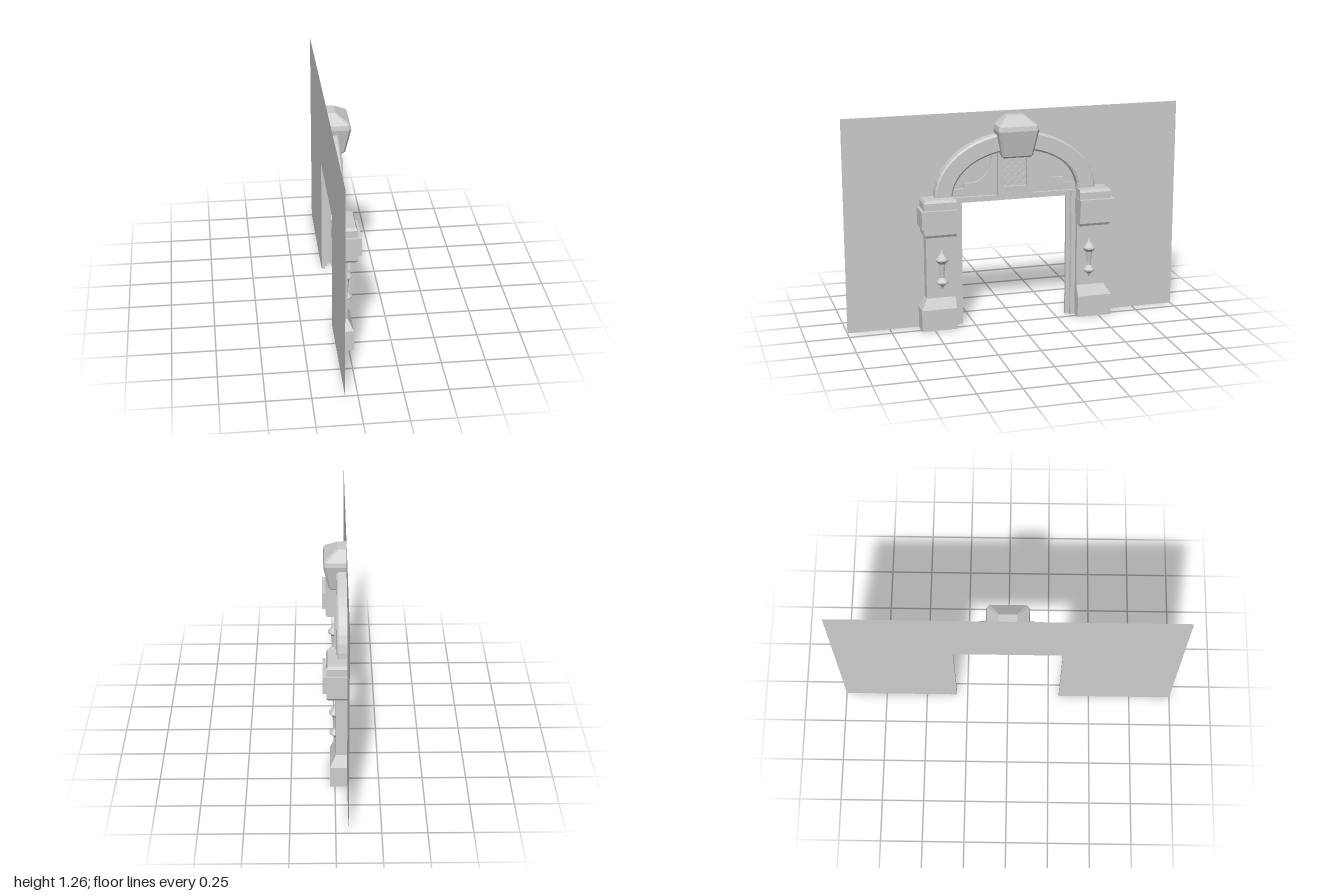
import * as THREE from 'three';

const BACK = -0.069; // rear plane of all relief parts, just in front of the wall
const grey = new THREE.MeshStandardMaterial({ color: 0xcccccc, flatShading: true });
const greyThin = new THREE.MeshStandardMaterial({ color: 0xcccccc, side: THREE.DoubleSide });

function add(group, name, geometry, material = grey) {
  const mesh = new THREE.Mesh(geometry, material);
  mesh.name = name;
  group.add(mesh);
  return mesh;
}

const outline = pts => new THREE.Shape(pts.map(p => new THREE.Vector2(p[0], p[1])));

// Flat relief drawn in the wall plane, raised from the wall to x = front
function relief(shape, front, back = BACK) {
  const g = new THREE.ExtrudeGeometry(shape, { depth: front - back, bevelEnabled: false, curveSegments: 10 });
  return g.rotateY(Math.PI / 2).translate(back, 0, 0);
}

// Solid skinned over equal-length rings of [x, y, z], with end caps
function skin(rings) {
  const n = rings[0].length, index = [];
  for (let i = 0; i < rings.length - 1; i++) {
    for (let j = 0; j < n; j++) {
      const a = i * n + j, b = i * n + (j + 1) % n;
      index.push(a, b, b + n, a, b + n, a + n);
    }
  }
  const last = (rings.length - 1) * n;
  for (let j = 1; j < n - 1; j++) index.push(0, j + 1, j, last, last + j, last + j + 1);
  // Turn the faces outwards if the enclosed volume comes out negative
  const p = rings.flat().map(v => new THREE.Vector3(...v));
  let volume = 0;
  for (let i = 0; i < index.length; i += 3) {
    volume += p[index[i]].dot(p[index[i + 1]].clone().cross(p[index[i + 2]]));
  }
  if (volume < 0) index.reverse();
  const g = new THREE.BufferGeometry().setFromPoints(p);
  g.setIndex(index);
  const flat = g.toNonIndexed();
  flat.computeVertexNormals();
  return flat;
}

// Rectangular sections [y, inner z, outer z, front x] stacked into a pier
const pier = (rows, side) => skin(rows.map(([y, z0, z1, x]) => [
  [BACK, y, side * z0], [x, y, side * z0], [x, y, side * z1], [BACK, y, side * z1],
]));

// U-shaped door surround
function surround(inner, outer, head, top, front) {
  return relief(outline([
    [-outer, 0], [-inner, 0], [-inner, head], [inner, head],
    [inner, 0], [outer, 0], [outer, top], [-outer, top],
  ]), front);
}

export function createModel() {
  const model = new THREE.Group();
  model.name = 'archedDoorway';

  // Wall sheet with door opening
  const wall = outline([
    [-1, 0], [-0.316, 0], [-0.316, 0.737], [0.316, 0.737],
    [0.316, 0], [1, 0], [1, 1.262], [-1, 1.262],
  ]);
  add(model, 'wall', new THREE.ShapeGeometry(wall).rotateY(Math.PI / 2).translate(-0.07, 0, 0), greyThin);

  // Stepped door surround
  add(model, 'innerSurround', surround(0.316, 0.372, 0.737, 0.772, -0.05));
  add(model, 'outerSurround', surround(0.342, 0.372, 0.765, 0.772, -0.035));

  for (const side of [1, -1]) {
    const pilaster = new THREE.Group();
    pilaster.name = side > 0 ? 'frontPilaster' : 'rearPilaster';
    model.add(pilaster);

    // Plinth flaring out of the shaft
    add(pilaster, 'shaft', pier([
      [0, 0.37, 0.577, 0.028], [0.128, 0.37, 0.577, 0.028],
      [0.19, 0.37, 0.54, -0.005], [0.57, 0.37, 0.54, -0.005],
    ], side));

    // Capital with a projecting block
    add(pilaster, 'capital', pier([
      [0.566, 0.37, 0.55, 0.038], [0.582, 0.37, 0.56, 0.047],
      [0.625, 0.37, 0.56, 0.047], [0.625, 0.367, 0.577, 0.068],
      [0.729, 0.367, 0.577, 0.068], [0.729, 0.37, 0.56, 0.047],
      [0.77, 0.37, 0.56, 0.047], [0.786, 0.37, 0.55, 0.038],
    ], side));

    // Turned spindle half sunk in the shaft
    const profile = [
      [0, 0.24], [0.012, 0.262], [0.036, 0.28], [0.036, 0.288], [0.013, 0.312],
      [0.013, 0.33], [0.019, 0.395], [0.038, 0.415], [0.038, 0.423], [0.015, 0.452], [0, 0.485],
    ].map(p => new THREE.Vector2(...p));
    add(pilaster, 'spindle', new THREE.LatheGeometry(profile, 10)).position.set(-0.005, 0, side * 0.447);

    // Spandrel panel with a stepped, scooped upper edge
    const s = new THREE.Shape();
    s.moveTo(side * 0.1, 0.77);
    s.lineTo(side * 0.372, 0.77);
    s.lineTo(side * 0.37, 0.815);
    s.lineTo(side * 0.3, 0.82);
    s.lineTo(side * 0.3, 0.85);
    s.lineTo(side * 0.245, 0.85);
    s.bezierCurveTo(side * 0.19, 0.86, side * 0.14, 0.91, side * 0.135, 1.01);
    s.lineTo(side * 0.1, 1.025);
    add(model, 'spandrel', relief(s, -0.052));
  }

  // Elliptical arch band with chamfered front edges: [offset from inner edge, x]
  const band = [[0, BACK], [0, -0.02], [0.01, -0.011], [0.095, -0.011], [0.105, -0.02], [0.105, BACK]];
  const archRings = [];
  for (let i = 0; i <= 24; i++) {
    const a = Math.PI * i / 24;
    archRings.push(band.map(([o, x]) => [x, 0.78 + (0.258 + o) * Math.sin(a), (0.376 + o) * Math.cos(a)]));
  }
  add(model, 'arch', skin(archRings));

  // Centre panel frame with recess
  const frame = outline([[-0.105, 0.765], [0.105, 0.765], [0.105, 1.03], [-0.105, 1.03]]);
  frame.holes.push(outline([[-0.07, 0.82], [-0.07, 1.015], [0.07, 1.015], [0.07, 0.82]]));
  add(model, 'centrePanel', relief(frame, -0.03));
  add(model, 'recessBack', relief(outline([[-0.07, 0.82], [0.07, 0.82], [0.07, 1.015], [-0.07, 1.015]]), -0.052));

  // Diagonal lattice bars trimmed to the recess
  const lattice = new THREE.Group();
  lattice.name = 'lattice';
  model.add(lattice);
  for (const dir of [1, -1]) {
    for (let c = 0.785; c < 1.06; c += 0.045) {
      const z0 = Math.max(-0.07, 0.82 - c), z1 = Math.min(0.07, 1.015 - c);
      if (z1 - z0 < 0.02) continue;
      const bar = add(lattice, 'latticeBar', new THREE.BoxGeometry(0.012, 0.011, (z1 - z0) * Math.SQRT2));
      const mid = (z0 + z1) / 2;
      bar.position.set(-0.047, c + mid, dir * mid);
      bar.rotation.x = -dir * Math.PI / 4;
    }
  }

  // Tapered keystone with chamfered corners and hipped top: [y, half width, front x, chamfer]
  const keyRows = [
    [1.0, 0.083, 0.02, 0.008], [1.01, 0.091, 0.031, 0.012], [1.16, 0.12, 0.062, 0.014],
    [1.187, 0.115, 0.057, 0.014], [1.24, 0.05, -0.02, 0.006],
  ];
  add(model, 'keystone', skin(keyRows.map(([y, w, x, c]) => [
    [BACK, y, w], [x - c, y, w], [x, y, w - c], [x, y, c - w], [x - c, y, -w], [BACK, y, -w],
  ])));

  return model;
}
